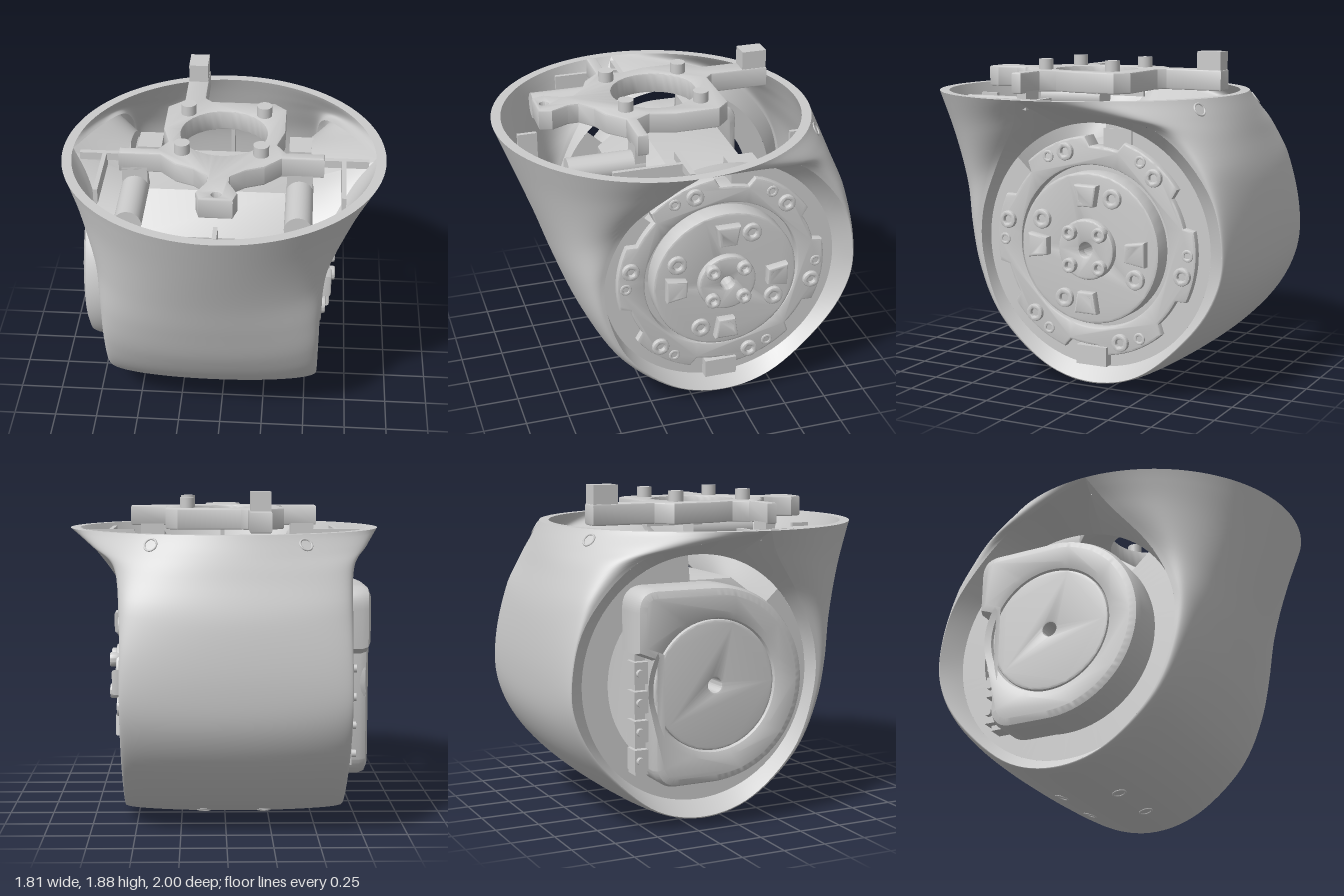
import * as THREE from 'three';
import { ParametricGeometry } from 'three/addons/geometries/ParametricGeometry.js';
import { toCreasedNormals } from 'three/addons/utils/BufferGeometryUtils.js';

const grey = new THREE.MeshStandardMaterial({ color: 0xcccccc });
const thin = new THREE.MeshStandardMaterial({ color: 0xcccccc, side: THREE.DoubleSide });
const AXIS_Y = 0.815, AXIS_Z = -0.17;

// Shell guide curves as [edge z, edge y, edge half width, middle z, middle y]
const guides = [
  [0.1, 1.65, 0.905, 1.0, 1.65], [0.2, 1.5, 0.765, 0.9, 1.38], [0.4, 1.25, 0.615, 0.79, 1.08],
  [0.52, 0.97, 0.575, 0.7, 0.81], [0.52, 0.7, 0.57, 0.59, 0.53], [0.4, 0.38, 0.57, 0.42, 0.27],
  [0.13, 0.13, 0.57, 0.15, 0.075], [-0.17, 0.05, 0.57, -0.17, 0], [-0.47, 0.12, 0.57, -0.52, 0.11],
  [-0.75, 0.36, 0.57, -0.8, 0.33], [-0.91, 0.6, 0.57, -0.96, 0.58], [-0.955, 0.85, 0.57, -1.0, 0.85],
  [-0.87, 1.18, 0.572, -0.97, 1.18], [-0.6, 1.48, 0.61, -0.9, 1.42], [-0.28, 1.58, 0.76, -0.86, 1.54],
  [0.1, 1.65, 0.905, -0.815, 1.65]];
const edgeCurve = new THREE.CatmullRomCurve3(guides.map(g => new THREE.Vector3(g[2], g[1], g[0])), false, 'catmullrom', 0.5);
const midCurve = new THREE.CatmullRomCurve3(guides.map(g => new THREE.Vector3(0, g[4], g[3])), false, 'catmullrom', 0.5);

// Point on the shell: t runs front-top, under, to back-top; s runs across; d = 0 outside, 1 inside
function shellPoint(t, s, d, out) {
  const { lerp, clamp, smoothstep } = THREE.MathUtils;
  const e = edgeCurve.getPoint(t), m = midCurve.getPoint(t);
  const flare = clamp((e.x - 0.57) / 0.33, 0, 1);
  // Sections are round at the mouth and squarer with rounded corners lower down
  const depth = Math.hypot(m.y - e.y, m.z - e.z);
  const power = lerp(lerp(0.95, 0.6, smoothstep(depth, 0.05, 0.17)), 1, flare);
  const level = lerp(AXIS_Y, m.y, smoothstep(m.y, 1.2, 1.65));
  const inward = new THREE.Vector2(AXIS_Z - m.z, level - m.y).setLength(0.055 * d);
  const right = e.x - d * 0.055, left = right + 0.1 * (1 - flare);
  const a = s * Math.PI / 2;
  const f = Math.pow(Math.max(Math.cos(a), 0), power);
  return out.set((right - left) / 2 + (right + left) / 2 * Math.sin(a),
    e.y + (m.y + inward.y - e.y) * f, e.z + (m.z + inward.x - e.z) * f);
}

// Lip from the shell's side edge in to a round opening about the drive axis
const LIP_RADIUS = 0.69, LIP_RIGHT = 0.49, LIP_LEFT = -0.57;
function lipPoint(t, side, v, out) {
  shellPoint(t, side, 0, out);
  const dir = new THREE.Vector2(out.z - AXIS_Z, out.y - AXIS_Y).setLength(LIP_RADIUS);
  return out.lerp(new THREE.Vector3(side > 0 ? LIP_RIGHT : LIP_LEFT, AXIS_Y + dir.y, AXIS_Z + dir.x), v);
}

function add(parent, name, geometry, x = 0, y = 0, z = 0, material = grey) {
  const mesh = new THREE.Mesh(geometry, material);
  mesh.name = name;
  mesh.position.set(x, y, z);
  parent.add(mesh);
  return mesh;
}

const box = (parent, name, x0, x1, y0, y1, z0, z1) =>
  add(parent, name, new THREE.BoxGeometry(x1 - x0, y1 - y0, z1 - z0), (x0 + x1) / 2, (y0 + y1) / 2, (z0 + z1) / 2);

function sheet(parent, name, f, nu, nv) {
  const g = new ParametricGeometry(f, nu, nv);
  g.computeVertexNormals();
  return add(parent, name, g, 0, 0, 0, thin);
}

function circle(u, v, r, Type = THREE.Path) {
  const p = new Type();
  p.absarc(u, v, r, 0, Math.PI * 2, false);
  return p;
}

// Extrude a side outline, drawn as (-z, y) about the drive axis, from x0 to x1
function sideSlab(parent, name, shape, x0, x1, hole = 0.04, bevel = 0.012) {
  shape.holes.push(circle(0, 0, hole));
  const g = new THREE.ExtrudeGeometry(shape, { depth: x1 - x0 - 2 * bevel, bevelSize: bevel, bevelOffset: -bevel,
    bevelThickness: bevel, bevelSegments: 2, curveSegments: 40 });
  g.rotateY(Math.PI / 2);
  return add(parent, name, toCreasedNormals(g, 0.5), x0 + bevel, AXIS_Y, AXIS_Z);
}

// Socket screw facing +x, placed by angle and radius about the drive axis
function screw(parent, name, radius, deg, size, x0, x1) {
  const a = THREE.MathUtils.degToRad(deg);
  const m = sideSlab(parent, name, circle(0, 0, size, THREE.Shape), x0, x1, size * 0.45, 0.008);
  m.position.y += radius * Math.sin(a);
  m.position.z += radius * Math.cos(a);
}

function makeShell(parent) {
  const shell = new THREE.Group();
  shell.name = 'shell';
  parent.add(shell);
  sheet(shell, 'outerShell', (u, v, p) => shellPoint(u, v * 2 - 1, 0, p), 100, 64);
  sheet(shell, 'innerShell', (u, v, p) => shellPoint(u, 1 - v * 2, 1, p), 100, 64);
  for (const t of [0, 1]) sheet(shell, 'topRim', (u, v, p) => shellPoint(t, u * 2 - 1, t ? v : 1 - v, p), 64, 1);
  for (const s of [-1, 1]) {
    sheet(shell, 'openingLip', (u, v, p) => lipPoint(u, s, s < 0 ? 1 - v : v, p), 120, 4);
    // Flange behind the drive, open at the upper front
    sheet(shell, 'openingFlange', (u, v, p) => {
      const a = THREE.MathUtils.degToRad(95 + 308 * u), r = 0.54 + (LIP_RADIUS - 0.54) * v;
      p.set(s > 0 ? LIP_RIGHT : LIP_LEFT, AXIS_Y + r * Math.sin(a), AXIS_Z + r * Math.cos(a));
    }, 90, 1);
  }
  // Screws sunk into the shell
  for (const [t, s] of [[0.435, 0.18], [0.505, 0.18], [0.965, 0.33]]) for (const k of [-1, 1]) {
    const [p, q, r] = [[0, 0], [0.004, 0], [0, 0.01]].map(o => shellPoint(t + o[0], k * s + o[1], 0, new THREE.Vector3()));
    const n = q.sub(p).cross(r.sub(p)).normalize();
    const ring = add(shell, 'shellScrew', new THREE.TorusGeometry(0.035, 0.006, 8, 24), p.x, p.y, p.z);
    ring.quaternion.setFromUnitVectors(new THREE.Vector3(0, 0, 1), n);
  }
  // Seam flanges and ribs inside the mouth
  for (const k of [-1, 1]) {
    const centre = k * 0.67;
    box(shell, 'seamFlange', centre - 0.14, centre + 0.14, 1.59, 1.635, 0.09, 0.12);
    box(shell, 'mouthRib', centre - 0.012, centre + 0.012, 1.55, 1.635, 0.09, 0.5);
  }
  box(shell, 'frontRib', -0.012, 0.012, 1.42, 1.6, 0.76, 0.87);
  box(shell, 'backRib', -0.012, 0.012, 0.9, 1.4, -0.86, -0.76);
}

function makeDrive(parent) {
  const drive = new THREE.Group();
  drive.name = 'drive';
  parent.add(drive);
  // Body with a clear bore along the axis
  const body = new THREE.Shape([[-0.37, -0.46], [0.22, -0.5], [0.22, 0.55], [-0.22, 0.55], [-0.45, 0.38], [-0.45, -0.38]]
    .map(p => new THREE.Vector2(...p)));
  sideSlab(drive, 'body', body, -0.55, 0.4);
  for (const x of [-0.53, 0.36]) box(drive, 'topBlock', x, x + 0.14, 1.34, 1.48, -0.39, -0.22);
  // Output ring, notched at its outer edge
  const ring = new THREE.Shape();
  const n = 144;
  for (let i = 0; i < n; i++) {
    const deg = i * 360 / n, k = deg % 60;
    const r = k > 27 && k < 46 ? 0.565 : 0.62, a = THREE.MathUtils.degToRad(deg);
    ring[i ? 'lineTo' : 'moveTo'](-r * Math.cos(a), r * Math.sin(a));
  }
  ring.closePath();
  sideSlab(drive, 'outputRing', ring, 0.41, 0.53, 0.46);
  sideSlab(drive, 'ringBacking', circle(0, 0, 0.56, THREE.Shape), 0.36, 0.47);
  sideSlab(drive, 'outputDisc', circle(0, 0, 0.425, THREE.Shape), 0.4, 0.585);
  sideSlab(drive, 'hub', circle(0, 0, 0.17, THREE.Shape), 0.56, 0.625);
  for (let i = 0; i < 6; i++) {
    screw(drive, 'ringScrew', 0.555, 12 + i * 60, 0.05, 0.5, 0.555);
    screw(drive, 'ringHole', 0.57, i * 60, 0.035, 0.5, 0.537);
  }
  for (let i = 0; i < 4; i++) {
    screw(drive, 'discScrew', 0.325, 27 + i * 90, 0.055, 0.56, 0.61);
    screw(drive, 'hubScrew', 0.13, 45 + i * 90, 0.042, 0.6, 0.66);
    // Tapered bosses
    const boss = new THREE.Shape([[-0.05, -0.06], [0.05, -0.06], [0.07, 0.06], [-0.07, 0.06]].map(p => new THREE.Vector2(...p)));
    const m = sideSlab(drive, 'discBoss', boss, 0.57, 0.635, 0.03);
    const a = i * Math.PI / 2;
    m.rotation.x = a;
    m.position.y += 0.3 * Math.cos(a);
    m.position.z += 0.3 * Math.sin(a);
  }
  box(drive, 'lowerTab', 0.46, 0.55, 0.14, 0.25, -0.26, -0.07);
  // Rear cover: round towards the front, square towards the back, cut away for the sockets
  const cover = new THREE.Shape();
  cover.moveTo(0, 0.545);
  cover.absarc(0, 0, 0.545, Math.PI / 2, Math.PI * 1.5, false);
  cover.lineTo(0.22, -0.545);
  cover.quadraticCurveTo(0.33, -0.545, 0.36, -0.44);
  cover.lineTo(0.36, 0.16);
  cover.lineTo(0.46, 0.2);
  cover.lineTo(0.46, 0.42);
  cover.quadraticCurveTo(0.46, 0.545, 0.34, 0.545);
  cover.closePath();
  sideSlab(drive, 'rearCover', cover, -0.8, -0.54, 0.355, 0.05);
  sideSlab(drive, 'rearDisc', circle(0, 0, 0.36, THREE.Shape), -0.785, -0.54);
  // Sockets beside the cover
  box(drive, 'socketPlate', -0.66, -0.55, 0.33, 1.0, -0.59, -0.5);
  for (let i = 0; i < 4; i++) {
    const y = 0.42 + i * 0.16;
    box(drive, 'socket', -0.7, -0.6, y - 0.06, y + 0.06, -0.61, -0.53);
    const pin = add(drive, 'socketPin', new THREE.CylinderGeometry(0.022, 0.022, 0.03, 16), -0.71, y, -0.58);
    pin.rotation.z = Math.PI / 2;
  }
}

function makeBracket(parent) {
  const bracket = new THREE.Group();
  bracket.name = 'topBracket';
  parent.add(bracket);
  // Plate outline in x, z
  const outline = [[-0.14, 0.46], [-0.06, 0.53], [-0.06, 0.59], [-0.11, 0.69], [-0.09, 0.76], [0.09, 0.76], [0.11, 0.69],
    [0.06, 0.59], [0.06, 0.53], [0.14, 0.46], [0.24, 0.42], [0.33, 0.33], [0.56, 0.33], [0.56, 0.27], [0.35, 0.27],
    [0.3, 0.19], [0.34, 0.05], [0.34, -0.2], [0.27, -0.27], [-0.09, -0.27], [-0.13, -0.31], [-0.13, -0.65], [-0.25, -0.65],
    [-0.25, -0.28], [-0.34, -0.2], [-0.34, 0.05], [-0.3, 0.19], [-0.35, 0.27], [-0.56, 0.27], [-0.56, 0.33], [-0.33, 0.33],
    [-0.24, 0.42]];
  const plate = new THREE.Shape(outline.map(p => new THREE.Vector2(...p)));
  plate.holes.push(circle(0, 0.08, 0.24), circle(0, 0.71, 0.025));
  const g = new THREE.ExtrudeGeometry(plate, { depth: 0.1, bevelSize: 0.01, bevelOffset: -0.01, bevelThickness: 0.01,
    bevelSegments: 2, curveSegments: 32 });
  g.rotateX(Math.PI / 2);
  add(bracket, 'plate', toCreasedNormals(g, 0.5), 0, 1.76, 0);
  box(bracket, 'post', -0.245, -0.135, 1.7, 1.875, -0.645, -0.5);
  for (const x of [-0.215, 0.215]) for (const z of [-0.13, 0.3])
    add(bracket, 'stud', new THREE.CylinderGeometry(0.043, 0.043, 0.18, 24), x, 1.74, z);
  // Support rods and their hangers
  for (const x of [-0.475, 0.43]) {
    const rod = add(bracket, 'supportRod', new THREE.CylinderGeometry(0.075, 0.075, 0.42, 28), x, 1.55, 0.48);
    rod.rotation.x = Math.PI / 2;
    box(bracket, 'hanger', x - 0.07, x + 0.07, 1.55, 1.68, 0.27, 0.33);
  }
}

export function createModel() {
  const model = new THREE.Group();
  model.name = 'jointHousing';
  makeShell(model);
  makeDrive(model);
  makeBracket(model);
  return model;
}
